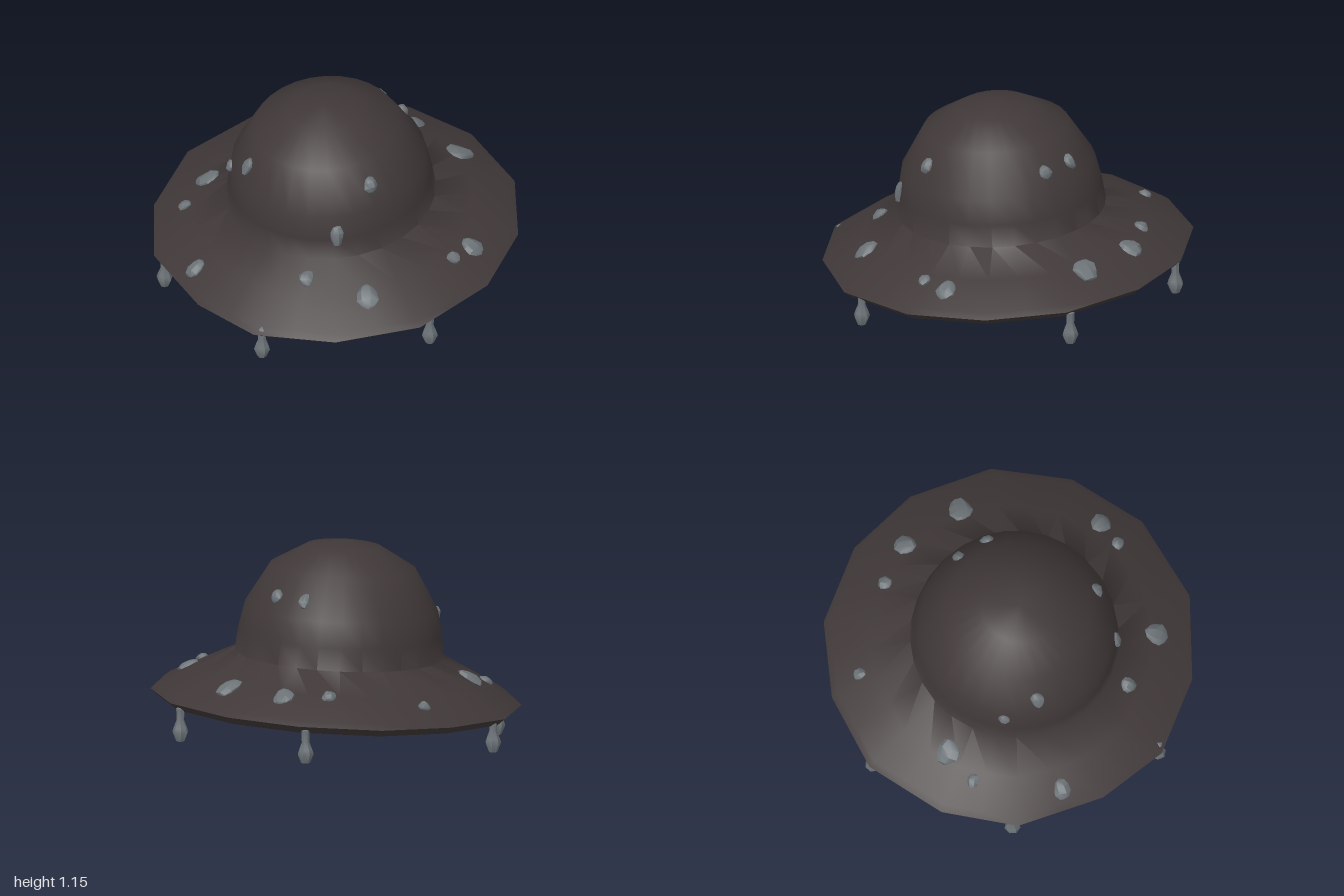
import * as THREE from 'three';
import { toCreasedNormals } from 'three/addons/utils/BufferGeometryUtils.js';

const TILT = 0.085; // the hat leans towards the front

// Brim outline as [x, z] corners
const OUTLINE = [
  [0.03, -0.98], [0.48, -0.87], [0.81, -0.58], [0.99, -0.18], [0.97, 0.3], [0.72, 0.69], [0.35, 0.94],
  [-0.05, 0.97], [-0.52, 0.85], [-0.82, 0.56], [-1, 0.14], [-0.95, -0.29], [-0.75, -0.66], [-0.38, -0.91],
];

// Outline columns: every corner plus the middle of every side
const COLUMNS = OUTLINE.flatMap(([x, z], i) => {
  const [nx, nz] = OUTLINE[(i + 1) % OUTLINE.length];
  return [[x, z], [(x + nx) / 2, (z + nz) / 2]];
});

const crownRing = (r, h) => COLUMNS.map(([x, z]) => {
  const a = Math.atan2(z - 0.04, x - 0.01);
  const s = r * Math.sin(a);
  return [0.01 + r * Math.cos(a), 0.545 + h - TILT * s, 0.04 + s + TILT * h];
});

const brimRing = (scale, y) => COLUMNS.map(([x, z]) => [x * scale, y - TILT * z * scale, z * scale]);

const mixRings = (a, b, t) => a.map((p, i) => p.map((v, k) => v + (b[i][k] - v) * t));

// Closed shell: crown, brim, rim, underside, hollow inside
function hatGeometry() {
  const base = crownRing(0.56, 0), edge = brimRing(0.965, 0.342);
  const innerBase = crownRing(0.53, -0.025), lower = brimRing(0.955, 0.275);
  const rings = [
    ...[[0, 0.62], [0.2, 0.585], [0.39, 0.475], [0.52, 0.255], [0.548, 0.12]].map(p => crownRing(...p)),
    base, mixRings(base, edge, 0.5), edge, brimRing(1, 0.315), lower,
    mixRings(lower, innerBase, 0.5), innerBase,
    ...[[0.49, 0.24], [0.365, 0.445], [0.19, 0.55], [0, 0.585]].map(p => crownRing(...p)),
  ];
  const n = COLUMNS.length, index = [];
  for (let i = 0; i < rings.length - 1; i++) {
    for (let j = 0; j < n; j++) {
      const k = (j + 1) % n;
      const a = i * n + j, b = a + n, c = i * n + k, d = c + n;
      if (i > 0) index.push(a, c, b);
      if (i < rings.length - 2) index.push(c, d, b);
    }
  }
  const geo = new THREE.BufferGeometry();
  geo.setAttribute('position', new THREE.Float32BufferAttribute(rings.flat(2), 3));
  geo.setIndex(index);
  return toCreasedNormals(geo, 1.0);
}

// Uneven low-sided pebble
function lumpGeometry(seed) {
  const geo = new THREE.SphereGeometry(1, 7, 5);
  const p = geo.attributes.position, v = new THREE.Vector3();
  for (let i = 0; i < p.count; i++) {
    v.fromBufferAttribute(p, i);
    const k = 1 + 0.13 * Math.sin(v.x * 3 + seed * 2.1) * Math.cos(v.y * 3 + v.z * 2 + seed);
    p.setXYZ(i, v.x * k, v.y * k, v.z * k);
  }
  return toCreasedNormals(geo, 0.8);
}

export function createModel() {
  const group = new THREE.Group();
  const felt = new THREE.MeshStandardMaterial({ color: 0x403838 });
  felt.name = 'dark felt';
  const stone = new THREE.MeshStandardMaterial({ color: 0x6b7276 });
  stone.name = 'grey stone';

  const hat = new THREE.Mesh(hatGeometry(), felt);
  hat.name = 'hat';
  group.add(hat);

  const ray = new THREE.Raycaster();
  let seed = 0;
  // Sets a pebble flat on the hat where the ray meets it
  function addLump(name, from, dir, width, length) {
    ray.set(from, dir);
    const hit = ray.intersectObject(hat)[0];
    if (!hit) return;
    const lump = new THREE.Mesh(lumpGeometry(seed++), stone);
    lump.name = name;
    lump.position.copy(hit.point);
    lump.up.set(0, 1, 0);
    lump.lookAt(hit.point.clone().add(hit.face.normal));
    lump.scale.set(width, length, 0.027);
    group.add(lump);
  }

  // Brim pebbles: x, z, half width, half length
  const down = new THREE.Vector3(0, -1, 0);
  [
    [-0.17, -0.74, 0.06, 0.065], [0.19, -0.74, 0.068, 0.08], [-0.38, -0.62, 0.042, 0.042],
    [-0.77, -0.29, 0.034, 0.036], [0.78, -0.27, 0.056, 0.062], [0.79, -0.12, 0.036, 0.036],
    [-0.63, 0.35, 0.064, 0.074], [-0.6, 0.54, 0.035, 0.04], [-0.22, 0.83, 0.048, 0.062],
    [0.38, 0.58, 0.043, 0.046], [0.68, 0.41, 0.06, 0.068],
  ].forEach(([x, z, w, l]) => addLump('brimPebble', new THREE.Vector3(x, 2, z), down, w, l));

  // Crown pebbles: x, y, z, half width, half length
  [
    [-0.155, 0.86, 0.5, 0.037, 0.052], [-0.33, 0.735, 0.44, 0.033, 0.036], [0.43, 0.66, 0.4, 0.038, 0.065],
    [0.44, 0.9, 0.17, 0.04, 0.046], [-0.06, 0.93, -0.39, 0.033, 0.045], [0.12, 0.93, -0.38, 0.037, 0.038],
  ].forEach(([x, y, z, w, l]) => {
    const dir = new THREE.Vector3(-x, 0, 0.04 - z).normalize();
    addLump('crownPebble', new THREE.Vector3(x, y, z).addScaledVector(dir, -1), dir, w, l);
  });

  // Hanging drops under the rim: x, bottom y, z
  const profile = [[0, 0], [0.024, 0.005], [0.044, 0.055], [0.036, 0.08], [0.021, 0.12], [0.023, 0.185], [0, 0.2]];
  const dropGeo = toCreasedNormals(new THREE.LatheGeometry(profile.map(p => new THREE.Vector2(...p)), 7), 0.7);
  [
    [-0.95, 0.12, 0.1], [0.94, 0.12, 0.2], [-0.51, 0.01, 0.78],
    [0.36, 0.07, 0.89], [-0.39, 0.18, -0.86], [0.43, 0.18, -0.85],
  ].forEach(([x, y, z], i) => {
    const drop = new THREE.Mesh(dropGeo, stone);
    drop.name = 'hangingDrop';
    drop.position.set(x, y, z);
    drop.rotation.y = i * 1.3;
    group.add(drop);
  });

  // Stand on the ground, centred
  const box = new THREE.Box3().setFromObject(group);
  group.children.forEach(c => { c.position.y -= box.min.y; });
  return group;
}
